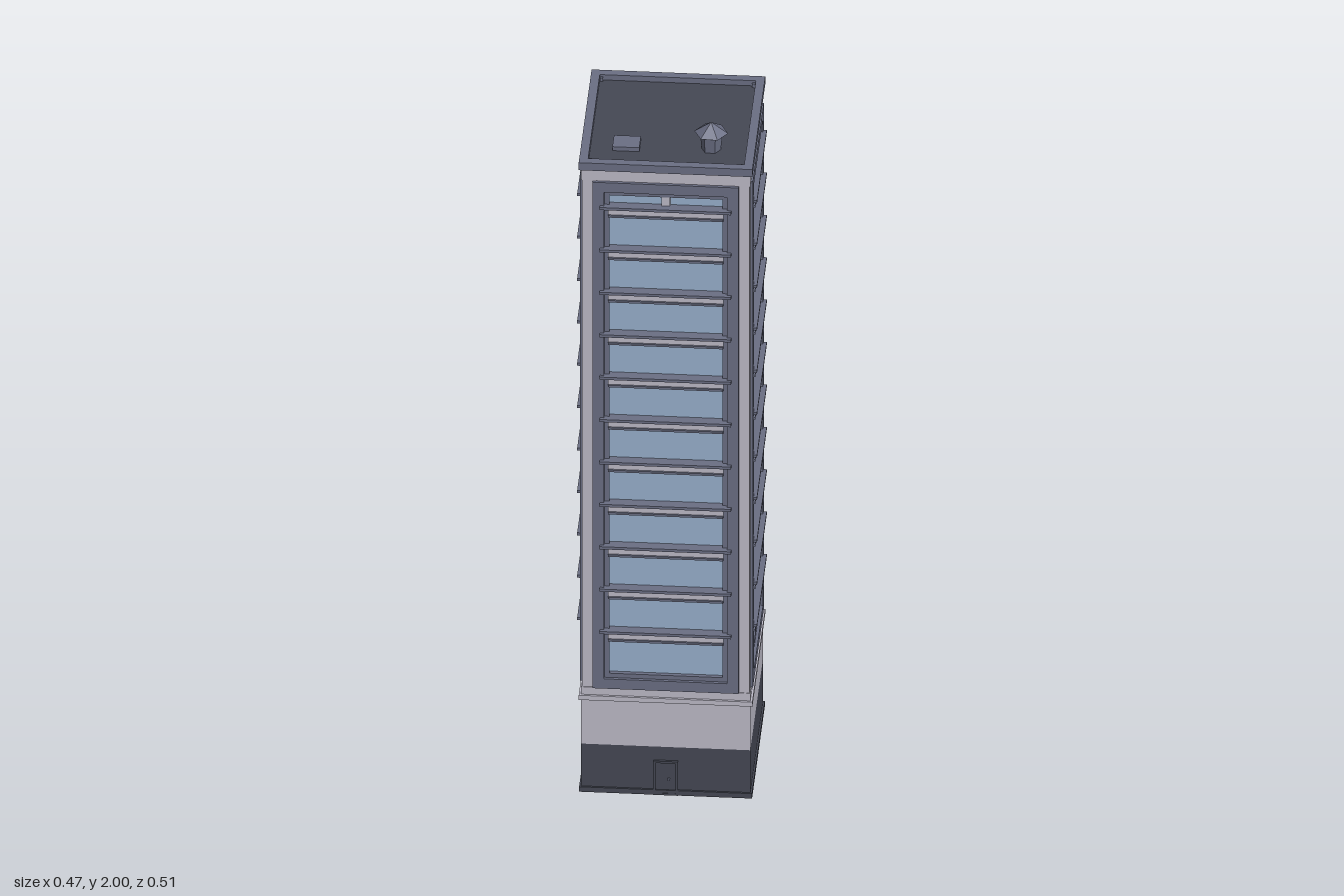
import * as THREE from 'three';

const mat = (name, color) => new THREE.MeshStandardMaterial({ name, color });

export function createModel() {
  const charcoal = mat('charcoal', 0x454854);
  const slate = mat('slate', 0x6b6f84);
  const stone = mat('pale stone', 0xbdbbc8);
  const glass = mat('window glass', 0x98b0cd);
  const green = mat('awning green', 0x43a67c);
  const orange = mat('sign orange', 0xd39a35);

  const model = new THREE.Group();
  model.name = 'tower';
  const tower = new THREE.Group();
  tower.name = 'building';
  tower.position.z = 0.02;
  model.add(tower);

  // Box given by its centre x, z and its bottom and top heights
  const box = (parent, name, material, w, d, y0, y1, x = 0, z = 0) => {
    const mesh = new THREE.Mesh(new THREE.BoxGeometry(w, y1 - y0, d), material);
    mesh.name = name;
    mesh.position.set(x, (y0 + y1) / 2, z);
    parent.add(mesh);
    return mesh;
  };

  // Rectangular ring, extruded along +z from z = 0
  const ring = (parent, name, material, w, h, border, depth) => {
    const rect = (Type, a, b) => new Type([
      new THREE.Vector2(-a, -b), new THREE.Vector2(a, -b),
      new THREE.Vector2(a, b), new THREE.Vector2(-a, b)]);
    const shape = rect(THREE.Shape, w / 2, h / 2);
    shape.holes.push(rect(THREE.Path, w / 2 - border, h / 2 - border));
    const mesh = new THREE.Mesh(
      new THREE.ExtrudeGeometry(shape, { depth, bevelEnabled: false }), material);
    mesh.name = name;
    parent.add(mesh);
    return mesh;
  };

  // Base, core and crown
  box(tower, 'plinth', charcoal, 0.45, 0.45, 0, 0.015);
  box(tower, 'groundFloor', charcoal, 0.44, 0.44, 0.01, 0.145);
  box(tower, 'stoneBase', stone, 0.44, 0.44, 0.145, 0.32);
  box(tower, 'baseMoulding', stone, 0.452, 0.452, 0.283, 0.297);
  box(tower, 'core', slate, 0.4, 0.4, 0.32, 1.88);
  box(tower, 'crown', stone, 0.44, 0.44, 1.878, 1.915);
  for (const x of [-1, 1]) for (const z of [-1, 1]) {
    box(tower, 'cornerPost', stone, 0.036, 0.036, 0.32, 1.88, x * 0.2, z * 0.2);
  }

  // The same tall window bay on all four sides
  for (let side = 0; side < 4; side++) {
    const bay = new THREE.Group();
    bay.name = 'windowBay';
    bay.rotation.y = side * Math.PI / 2;
    tower.add(bay);
    ring(bay, 'outerFrame', slate, 0.38, 1.556, 0.03, 0.03).position.set(0, 1.098, 0.195);
    ring(bay, 'innerFrame', slate, 0.33, 1.506, 0.018, 0.022).position.set(0, 1.098, 0.195);
    box(bay, 'glazing', glass, 0.3, 0.008, 0.36, 1.836, 0, 0.202);
    box(bay, 'topLatch', stone, 0.022, 0.012, 1.8, 1.834, 0, 0.208);
    for (let i = 0; i < 11; i++) {
      const y = 0.483 + i * 0.1304;
      box(bay, 'ledge', slate, 0.342, 0.034, y + 0.01, y + 0.018, 0, 0.217);
      box(bay, 'spandrel', stone, 0.3, 0.022, y - 0.01, y + 0.01, 0, 0.212);
      box(bay, 'lowerLedge', slate, 0.3, 0.026, y - 0.016, y - 0.01, 0, 0.215);
    }
  }

  // Roof with parapet, hatch and vent
  box(tower, 'roofDeck', charcoal, 0.42, 0.42, 1.91, 1.919);
  const parapet = ring(tower, 'parapet', slate, 0.452, 0.452, 0.023, 0.023);
  parapet.rotation.x = -Math.PI / 2;
  parapet.position.y = 1.912;
  for (const x of [-1, 1]) for (const z of [-1, 1]) {
    box(tower, 'parapetCorner', slate, 0.008, 0.008, 1.915, 1.93, x * 0.198, z * 0.198);
  }
  box(tower, 'roofHatch', slate, 0.07, 0.056, 1.915, 1.931, -0.11, 0.108);
  const vent = (name, rTop, rBottom, y0, y1) => {
    const geometry = new THREE.CylinderGeometry(rTop, rBottom, y1 - y0, 6).toNonIndexed();
    geometry.computeVertexNormals();
    const mesh = new THREE.Mesh(geometry, slate);
    mesh.name = name;
    mesh.position.set(0.11, (y0 + y1) / 2, 0.108);
    mesh.rotation.y = 0.45;
    tower.add(mesh);
  };
  vent('ventPipe', 0.03, 0.025, 1.915, 1.972);
  vent('ventCap', 0.001, 0.044, 1.97, 2);

  // Plain service door at the front
  ring(tower, 'serviceDoorFrame', charcoal, 0.064, 0.104, 0.006, 0.006).position.set(0, 0.052, 0.22);
  box(tower, 'serviceDoor', charcoal, 0.052, 0.004, 0.01, 0.1, 0, 0.22);
  box(tower, 'doorKnob', slate, 0.006, 0.008, 0.045, 0.051, 0.008, 0.222);

  // Shop front at the back, modelled facing +z and turned round
  const shop = new THREE.Group();
  shop.name = 'entrance';
  shop.rotation.y = Math.PI;
  tower.add(shop);
  for (const x of [-0.145, 0.145]) {
    ring(shop, 'shopWindowFrame', slate, 0.09, 0.088, 0.014, 0.008).position.set(x, 0.062, 0.218);
    box(shop, 'shopWindow', glass, 0.064, 0.004, 0.03, 0.094, x, 0.22);
  }
  ring(shop, 'entranceFrame', slate, 0.1, 0.122, 0.012, 0.01).position.set(0, 0.061, 0.218);
  for (const x of [-0.02, 0.02]) {
    box(shop, 'entranceDoor', charcoal, 0.038, 0.006, 0.012, 0.11, x, 0.22);
    box(shop, 'doorGlass', glass, 0.024, 0.004, 0.03, 0.1, x, 0.223);
  }
  for (const x of [-0.058, 0.058]) {
    box(shop, 'awningPost', slate, 0.01, 0.01, 0, 0.13, x, 0.25);
  }
  const awning = box(shop, 'awning', green, 0.145, 0.06, 0.13, 0.141, 0, 0.244);
  awning.rotation.x = 0.22;
  const sign = box(shop, 'signBoard', orange, 0.145, 0.008, 0.15, 0.195, 0, 0.232);
  sign.rotation.x = -0.1;
  box(shop, 'signBracket', charcoal, 0.1, 0.012, 0.155, 0.18, 0, 0.224);

  return model;
}
